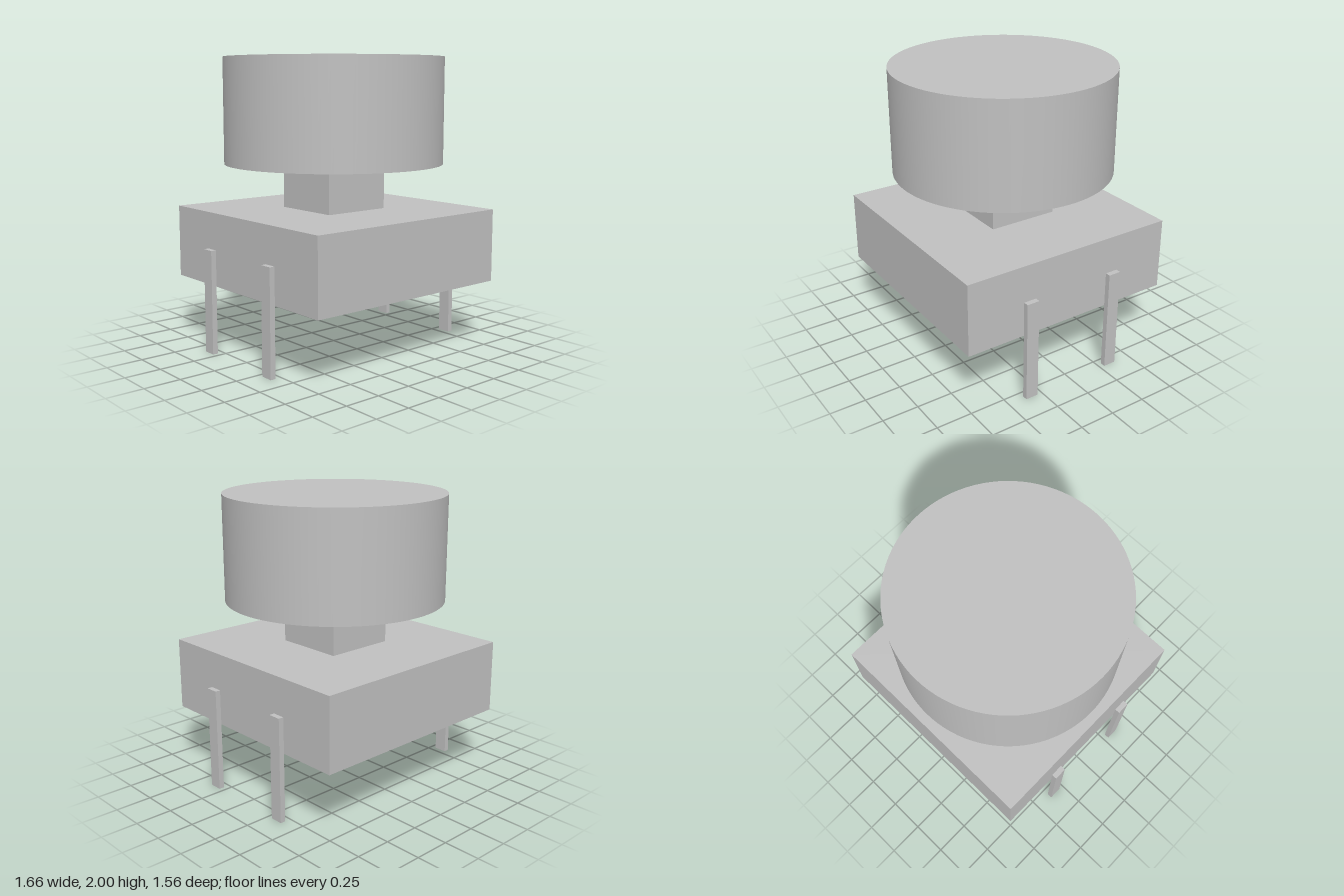
import * as THREE from 'three';

export function createModel() {
  const model = new THREE.Group();
  model.name = 'pushButton';
  const grey = new THREE.MeshStandardMaterial({ color: 0xc0c0c0 });
  grey.name = 'light grey';

  const add = (name, geometry, x, y, z) => {
    const mesh = new THREE.Mesh(geometry, grey);
    mesh.name = name;
    mesh.position.set(x, y, z);
    model.add(mesh);
  };
  // Box given by its width, depth and vertical extent
  const box = (name, w, d, y0, y1, x = 0, z = 0) =>
    add(name, new THREE.BoxGeometry(w, y1 - y0, d), x, (y0 + y1) / 2, z);

  // Square body and plunger
  box('body', 1.556, 1.556, 0.46, 0.962);
  box('plunger', 0.494, 0.494, 0.962, 1.277);

  // Round cap
  add('cap', new THREE.CylinderGeometry(0.753, 0.753, 0.723, 96), 0, 1.6385, 0);

  // Four flat pins, standing just clear of the body sides
  for (const side of [-1, 1])
    for (const end of [-1, 1])
      box('pin', 0.037, 0.09, 0, 0.715, side * 0.81, end * 0.33);

  return model;
}
